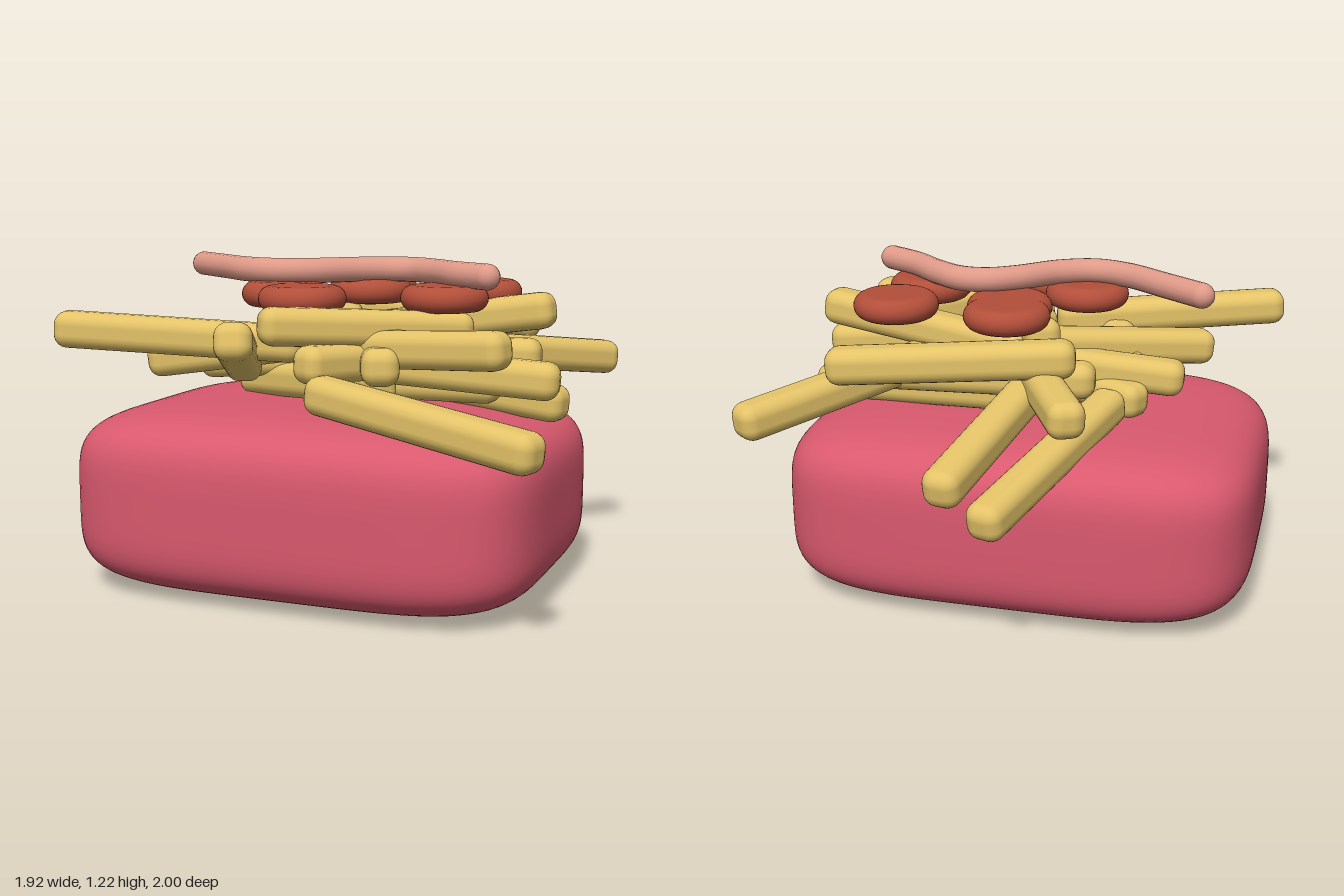
import * as THREE from 'three';
import { RoundedBoxGeometry } from 'three/addons/geometries/RoundedBoxGeometry.js';
import { mergeVertices } from 'three/addons/utils/BufferGeometryUtils.js';

const paint = (color) => new THREE.MeshStandardMaterial({ color });

function add(parent, name, geometry, material) {
  const mesh = new THREE.Mesh(geometry, material);
  mesh.name = name;
  parent.add(mesh);
  return mesh;
}

// Box swollen into a superellipsoid: soft edges, nearly flat faces
function softBlock(w, h, d, power) {
  let geo = new THREE.BoxGeometry(2, 2, 2, 28, 28, 28);
  geo.deleteAttribute('normal');
  geo.deleteAttribute('uv');
  geo = mergeVertices(geo);
  const p = geo.attributes.position;
  const v = new THREE.Vector3();
  for (let i = 0; i < p.count; i++) {
    v.fromBufferAttribute(p, i);
    const n = Math.abs(v.x) ** power + Math.abs(v.y) ** power + Math.abs(v.z) ** power;
    v.multiplyScalar(n ** (-1 / power));
    p.setXYZ(i, v.x * w / 2, v.y * h / 2, v.z * d / 2);
  }
  geo.computeVertexNormals();
  return geo;
}

// Each fry: outer end x, y, z, then inner end x, y, z
const FRIES = [
  [0.01, 0.70, -0.99, -0.15, 0.86, -0.18],
  [-0.12, 0.58, -0.95, -0.40, 0.75, -0.07],
  [-0.36, 0.86, -0.67, -0.06, 0.90, -0.10],
  [0.81, 0.78, -0.74, 0.28, 0.88, -0.02],
  [0.57, 0.94, -0.49, -0.31, 0.99, -0.34],
  [0.74, 1.04, -0.02, -0.08, 0.92, -0.08],
  [0.81, 0.70, 0.06, -0.02, 0.77, -0.12],
  [0.83, 0.81, 0.24, -0.02, 0.87, 0.34],
  [0.72, 0.95, 0.53, -0.08, 0.90, 0.33],
  [0.94, 0.69, 0.95, 0.06, 0.79, 0.64],
  [-0.96, 0.97, 0.64, -0.08, 0.92, 0.39],
  [-0.70, 0.84, 0.43, 0.02, 0.92, 0.00],
  [-0.64, 0.80, 0.10, 0.18, 0.86, 0.06],
  [-0.50, 0.73, -0.02, 0.24, 0.78, 0.38],
  [-0.16, 0.98, 0.80, -0.42, 0.80, 0.18],
  [-0.14, 1.01, 0.64, 0.48, 0.97, 0.16],
  [0.02, 0.88, 0.65, 0.36, 0.86, 0.02],
  [0.28, 0.87, 0.55, -0.05, 0.85, -0.18],
  [0.65, 0.84, -0.20, -0.34, 0.84, -0.12],
  [0.08, 0.95, 0.30, -0.16, 1.00, -0.16],
  [0.58, 0.77, 0.12, -0.24, 0.76, 0.10],
];

function makeFries() {
  const group = new THREE.Group();
  group.name = 'fries';
  const material = paint(0xe4c368);
  for (const [ax, ay, az, bx, by, bz] of FRIES) {
    const a = new THREE.Vector3(ax, ay, az);
    const b = new THREE.Vector3(bx, by, bz);
    const fry = add(group, 'fry', new RoundedBoxGeometry(0.135, 0.135, a.distanceTo(b), 3, 0.05), material);
    fry.position.copy(a).add(b).multiplyScalar(0.5);
    fry.lookAt(a);
  }
  return group;
}

// Thick round slice with a rounded rim
function sliceGeometry(r, half) {
  const profile = [new THREE.Vector2(0, -half)];
  for (let i = 0; i <= 10; i++) {
    const t = -Math.PI / 2 + (i / 10) * Math.PI;
    profile.push(new THREE.Vector2(r - half + Math.cos(t) * half, Math.sin(t) * half));
  }
  profile.push(new THREE.Vector2(0, half));
  return new THREE.LatheGeometry(profile, 40);
}

function makeSlices() {
  const group = new THREE.Group();
  group.name = 'slices';
  const geometry = sliceGeometry(0.16, 0.047);
  const material = paint(0xb24f3a);
  const spots = [[-0.02, -0.19], [0, -0.07], [0.42, -0.14], [0.38, 0.17], [-0.24, 0.2], [-0.09, 0.375]];
  for (const [x, z] of spots) add(group, 'slice', geometry, material).position.set(x, 1.085, z);
  return group;
}

// Wavy strip with round ends
function makeStrip() {
  const group = new THREE.Group();
  group.name = 'wavyStrip';
  const material = paint(0xe09a88);
  const path = [[-0.71, -0.055], [-0.56, 0.06], [-0.4, 0.18], [-0.27, 0.22], [-0.14, 0.17],
    [0, 0.04], [0.1, -0.02], [0.2, -0.02], [0.31, 0.05], [0.43, 0.16], [0.56, 0.24]]
    .map(([x, z]) => new THREE.Vector3(x, 1.17, z));
  add(group, 'stripBody', new THREE.TubeGeometry(new THREE.CatmullRomCurve3(path), 80, 0.047, 16), material);
  for (const end of [path[0], path[path.length - 1]]) {
    add(group, 'stripEnd', new THREE.SphereGeometry(0.047, 16, 12), material).position.copy(end);
  }
  return group;
}

export function createModel() {
  const model = new THREE.Group();
  model.name = 'loadedFries';
  const base = add(model, 'base', softBlock(1.78, 0.68, 1.36, 4.6), paint(0xd9596e));
  base.position.set(-0.07, 0.34, 0.1);
  model.add(makeFries(), makeSlices(), makeStrip());
  return model;
}
